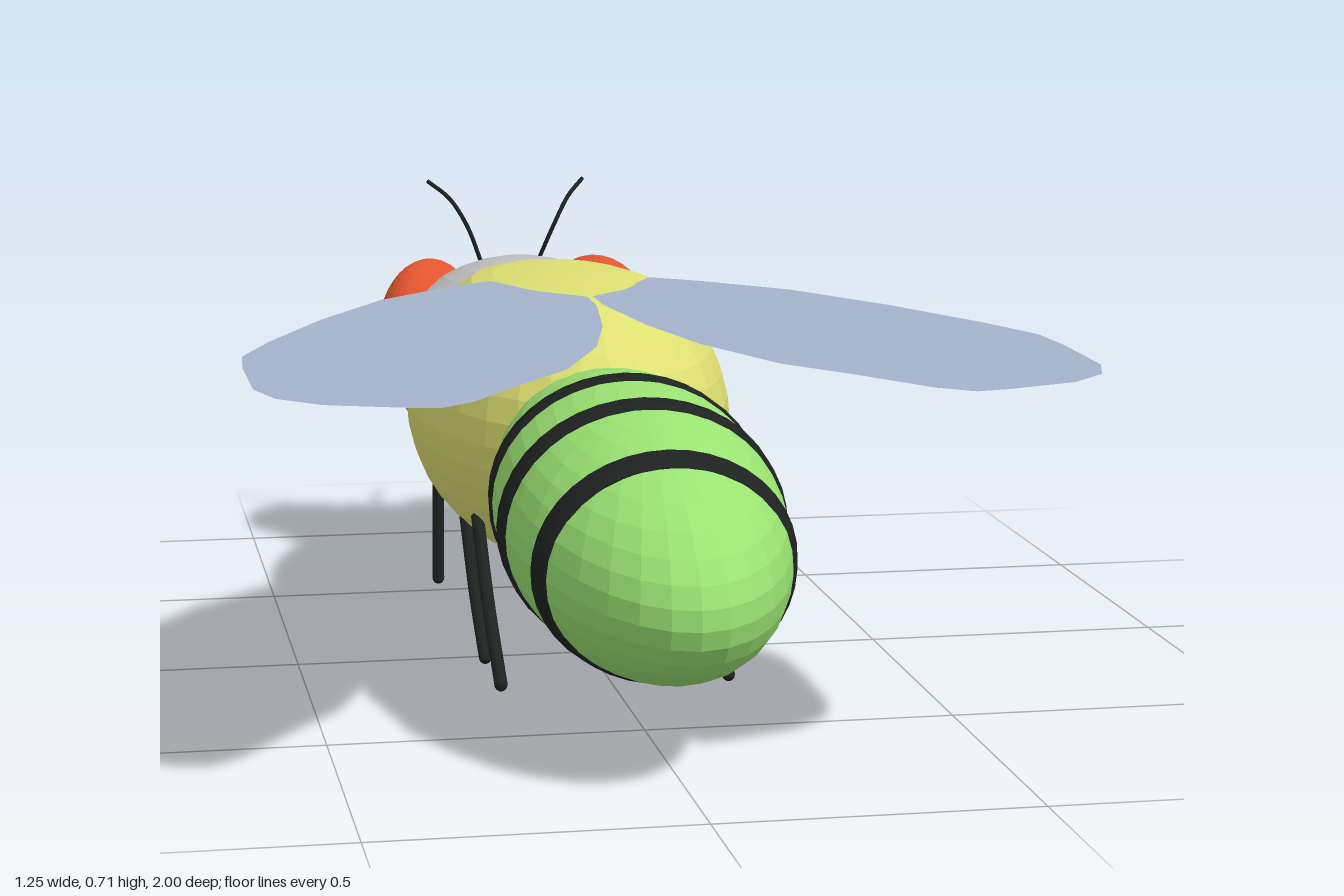
import * as THREE from 'three';

const paint = (name, color, extra = {}) => {
  const m = new THREE.MeshStandardMaterial({ color, ...extra });
  m.name = name;
  return m;
};

export function createModel() {
  const root = new THREE.Group();
  root.name = 'fly';
  const flat = { flatShading: true };
  const yellow = paint('thorax yellow', 0xdedf72, flat);
  const green = paint('abdomen green', 0x9ae272, flat);
  const grey = paint('head grey', 0xbdbdbd, flat);
  const red = paint('eye red', 0xe2552f, flat);
  const black = paint('black', 0x1e2220);
  const wingBlue = paint('wing blue', 0xa4b4cb, { side: THREE.DoubleSide });

  const add = (parent, name, geometry, material) => {
    const mesh = new THREE.Mesh(geometry, material);
    mesh.name = name;
    parent.add(mesh);
    return mesh;
  };
  const ellipsoid = (rx, ry, rz) => new THREE.SphereGeometry(1, 32, 20).scale(rx, ry, rz);
  const tube = (points, radius) => new THREE.TubeGeometry(
    new THREE.CatmullRomCurve3(points.map(p => new THREE.Vector3(...p))), 16, radius, 8);

  // Thorax: ellipsoid with a flattened back
  const thoraxGeo = ellipsoid(0.275, 0.267, 0.51);
  const pos = thoraxGeo.attributes.position;
  for (let i = 0; i < pos.count; i++) {
    const y = pos.getY(i);
    if (y > 0.222) pos.setY(i, 0.222 + (y - 0.222) * 0.4);
  }
  thoraxGeo.computeVertexNormals();
  add(root, 'thorax', thoraxGeo, yellow).position.set(0, 0.385, -0.25);

  // Abdomen: drooping ellipsoid with three raised bands
  const abdomen = new THREE.Group();
  abdomen.name = 'abdomen';
  abdomen.position.set(0, 0.326, 0.445);
  abdomen.rotation.x = 0.125;
  root.add(abdomen);
  const [ax, ay, az] = [0.222, 0.199, 0.497];
  add(abdomen, 'abdomenBody', ellipsoid(ax, ay, az), green);
  for (const d of [-0.262, 0.07, 0.475]) {
    const h = 0.045;
    const r = t => Math.sqrt(1 - t * t);
    const profile = [[r(d - h) * 0.95, d - h], [r(d - h) * 1.025, d - h],
      [r(d + h) * 1.025, d + h], [r(d + h) * 0.95, d + h]];
    const band = new THREE.LatheGeometry(profile.map(p => new THREE.Vector2(...p)), 40);
    add(abdomen, 'abdomenBand', band.rotateX(Math.PI / 2).scale(ax, ay, az), black);
  }

  // Head
  add(root, 'head', ellipsoid(0.247, 0.2, 0.217), grey).position.set(0, 0.38, -0.778);

  // Leg paths as [z, y]
  const legs = {
    frontLeg: [[-0.515, 0.28], [-0.54, 0.18], [-0.55, 0.01]],
    middleLeg: [[-0.17, 0.21], [-0.05, 0.095], [0.065, 0.014]],
    rearLeg: [[-0.02, 0.24], [0.1, 0.12], [0.245, 0.014]],
  };

  // Wing outline as [x, z], from the leading root round the tip to the inner root
  const outline = [[0.14, -0.21], [0.22, -0.15], [0.35, -0.02], [0.47, 0.18], [0.57, 0.39],
    [0.62, 0.52], [0.627, 0.63], [0.625, 0.81], [0.6, 0.89], [0.54, 0.95], [0.43, 0.99],
    [0.38, 1.0], [0.33, 0.96], [0.25, 0.84], [0.16, 0.72], [0.08, 0.52], [0.035, 0.32],
    [0.006, 0.1], [0.005, 0.0], [0.06, -0.06], [0.11, -0.15]];

  for (const [side, s] of [['left', 1], ['right', -1]]) {
    // Eyes
    const eye = add(root, side + 'Eye', ellipsoid(0.085, 0.133, 0.14), red);
    eye.position.set(s * 0.165, 0.432, -0.868);
    eye.rotation.y = s * Math.PI / 6;

    // Antennae
    add(root, side + 'Antenna', tube([[s * 0.055, 0.55, -0.905], [s * 0.085, 0.625, -0.888],
      [s * 0.115, 0.675, -0.91], [s * 0.152, 0.705, -0.957]], 0.004), black);

    // Legs with closed feet
    for (const [name, path] of Object.entries(legs)) {
      const leg = new THREE.Group();
      leg.name = side + name[0].toUpperCase() + name.slice(1);
      root.add(leg);
      add(leg, 'shin', tube(path.map(([z, y]) => [s * 0.19, y, z]), 0.011), black);
      const [z, y] = path[2];
      add(leg, 'foot', new THREE.SphereGeometry(0.011, 10, 8), black).position.set(s * 0.19, y, z);
    }

    // Wings
    const shape = new THREE.Shape(outline.map(([x, z]) => new THREE.Vector2(s * x, z)));
    const wing = new THREE.ShapeGeometry(shape).rotateX(Math.PI / 2);
    // Face both outlines upward
    if (wing.attributes.normal.getY(0) < 0) {
      wing.setIndex(Array.from(wing.index.array).reverse());
      wing.computeVertexNormals();
    }
    add(root, side + 'Wing', wing, wingBlue).position.y = 0.614;
  }
  return root;
}
